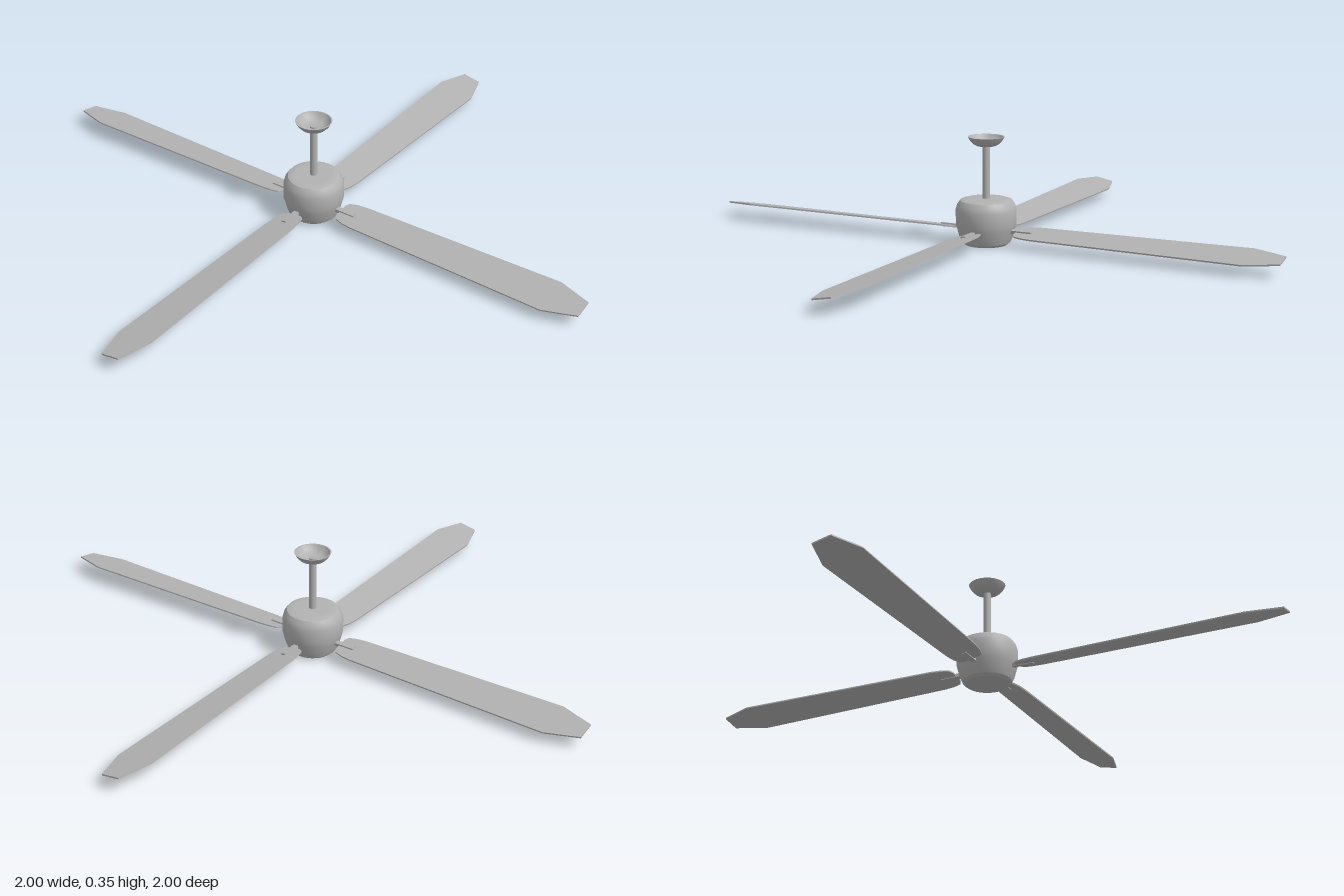
import * as THREE from 'three';
import { toCreasedNormals } from 'three/addons/utils/BufferGeometryUtils.js';

export function createModel() {
  const fan = new THREE.Group();
  fan.name = 'ceilingFan';
  const metal = new THREE.MeshStandardMaterial({ color: 0xb2b2b2, side: THREE.DoubleSide });
  metal.name = 'greyMetal';

  const add = (parent, name, geometry) => {
    const mesh = new THREE.Mesh(geometry, metal);
    mesh.name = name;
    parent.add(mesh);
    return mesh;
  };
  const lathe = (points) => toCreasedNormals(
    new THREE.LatheGeometry(points.map(([r, y]) => new THREE.Vector2(r, y)), 32), 0.4);

  // Motor housing: rounded drum with a flat base and a stepped shoulder
  add(fan, 'motorHousing', lathe([
    [0, 0], [0.07, 0], [0.08, 0.008], [0.088, 0.025], [0.096, 0.055], [0.1, 0.07],
    [0.1, 0.115], [0.095, 0.132], [0.085, 0.146], [0.072, 0.15], [0.06, 0.15], [0, 0.152],
  ]));

  // Down rod and the open ceiling cup
  add(fan, 'downRod', new THREE.CylinderGeometry(0.012, 0.012, 0.19, 20)).position.y = 0.24;
  add(fan, 'ceilingCup', lathe([
    [0, 0.325], [0.03, 0.325], [0.042, 0.331], [0.052, 0.341], [0.06, 0.355],
    [0.056, 0.355], [0.048, 0.342], [0.038, 0.334], [0.028, 0.33], [0, 0.33],
  ]));

  // Blade outline, one side, as half width against distance from the axis
  const side = [[0.026, 0.11], [0.04, 0.118], [0.048, 0.145], [0.052, 0.18], [0.066, 0.89], [0.032, 1]];
  const outline = new THREE.Shape([
    ...side.map(([x, z]) => new THREE.Vector2(x, z)),
    ...side.slice().reverse().map(([x, z]) => new THREE.Vector2(-x, z)),
  ]);
  const thickness = 0.005;
  const bladeGeometry = new THREE.ExtrudeGeometry(outline, { depth: thickness, bevelEnabled: false });
  bladeGeometry.rotateX(Math.PI / 2).translate(0, thickness / 2, 0);

  // Four pitched blades, each on a slim bracket
  for (let i = 0; i < 4; i++) {
    const arm = new THREE.Group();
    arm.name = 'bladeArm' + (i + 1);
    arm.rotation.y = i * Math.PI / 2;
    const pitched = new THREE.Group();
    pitched.name = 'pitchedBlade';
    pitched.position.y = 0.048;
    pitched.rotation.z = 0.19;
    add(pitched, 'blade', bladeGeometry);
    add(pitched, 'bracket', new THREE.BoxGeometry(0.016, 0.013, 0.095)).position.set(0, 0.001, 0.117);
    arm.add(pitched);
    fan.add(arm);
  }
  return fan;
}
